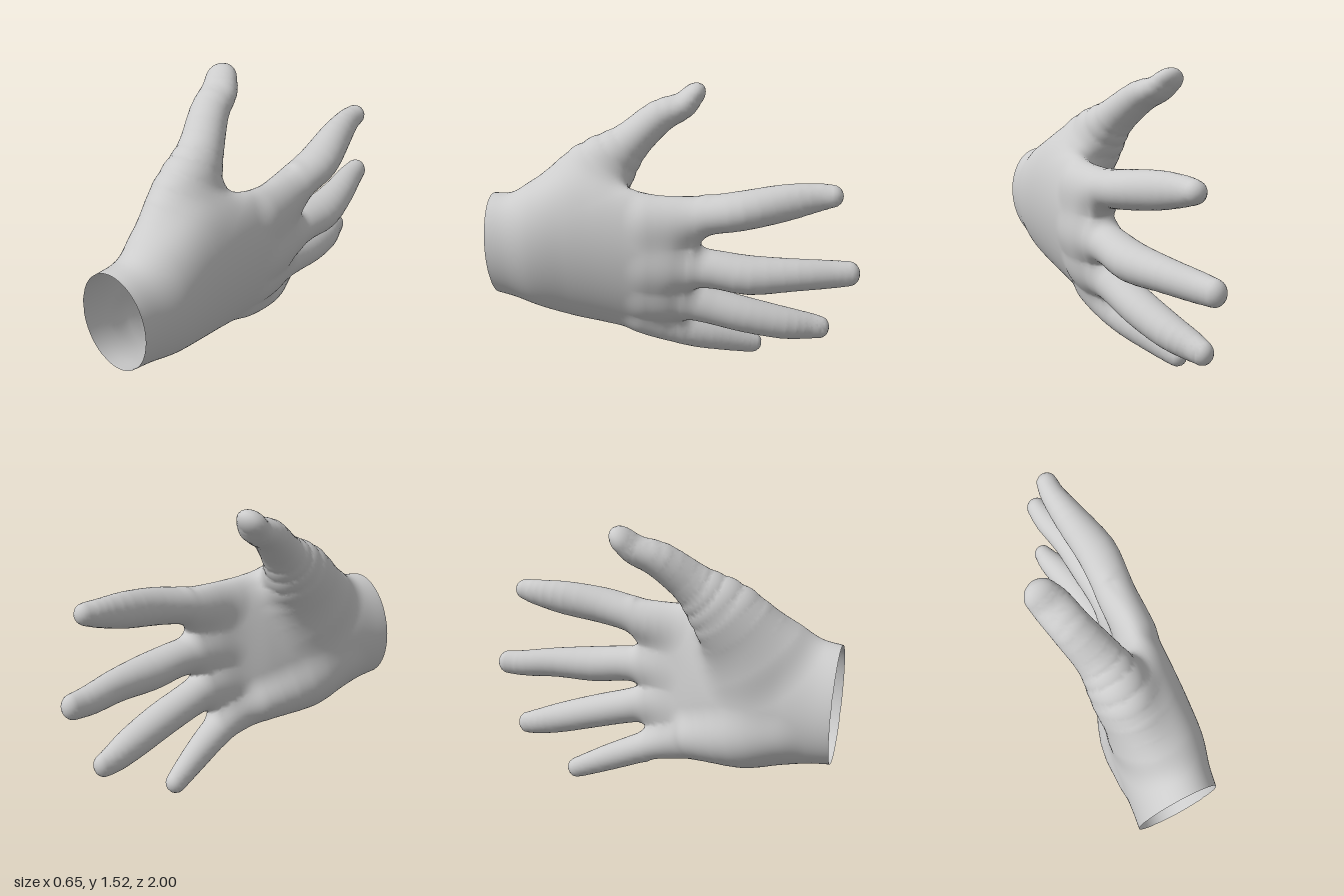
import * as THREE from 'three';

const STEP = 0.02;                       // cell size of the skin mesh
const CELLS = [36, 80, 102];
const ORIGIN = [-0.357, -0.037, 1 + STEP / 2 - CELLS[2] * STEP];

// Palm rows from wrist to knuckles: z, centre y, half height, centre x, half thickness, lean of x by y, bow of x
const PALM = [
  [1.00, 0.635, 0.305, 0.00, 0.217, 0.11, 0.00], [0.90, 0.632, 0.320, 0.015, 0.220, 0.11, 0.00],
  [0.75, 0.640, 0.370, 0.04, 0.232, 0.11, 0.00], [0.55, 0.650, 0.430, 0.06, 0.226, 0.11, 0.01],
  [0.40, 0.645, 0.437, 0.095, 0.200, 0.11, 0.02], [0.25, 0.625, 0.430, 0.135, 0.168, 0.12, 0.03],
  [0.10, 0.595, 0.427, 0.18, 0.130, 0.14, 0.05], [0.00, 0.590, 0.415, 0.195, 0.110, 0.14, 0.06],
  [-0.08, 0.590, 0.385, 0.195, 0.080, 0.14, 0.06],
];

// Limb rows from base to tip: x, y, z, radius across the spread of the hand, radius through the hand
const LIMBS = {
  heelOfPalm: [
    [-0.04, 0.47, 0.72, 0.12, 0.14], [-0.04, 0.40, 0.50, 0.145, 0.14], [0.02, 0.33, 0.25, 0.11, 0.11],
  ],
  thumb: [
    [-0.01, 0.85, 0.59, 0.23, 0.16], [-0.04, 1.05, 0.43, 0.195, 0.165], [-0.088, 1.21, 0.265, 0.115, 0.122],
    [-0.16, 1.345, 0.11, 0.09, 0.104], [-0.20, 1.40, -0.01, 0.071, 0.10], [-0.23, 1.448, -0.065, 0.06, 0.088],
  ],
  indexFinger: [
    [0.20, 0.89, 0.10, 0.11, 0.09], [0.195, 0.91, -0.08, 0.112, 0.105], [0.20, 0.945, -0.21, 0.10, 0.107],
    [0.20, 0.975, -0.37, 0.10, 0.11], [0.155, 1.01, -0.58, 0.095, 0.09], [0.125, 1.035, -0.74, 0.074, 0.068],
    [0.125, 1.047, -0.82, 0.058, 0.058],
  ],
  middleFinger: [
    [0.20, 0.64, 0.10, 0.11, 0.10], [0.20, 0.645, -0.08, 0.112, 0.108], [0.205, 0.64, -0.24, 0.10, 0.105],
    [0.20, 0.615, -0.42, 0.102, 0.11], [0.16, 0.61, -0.65, 0.086, 0.09], [0.11, 0.60, -0.83, 0.076, 0.075],
    [0.09, 0.60, -0.94, 0.068, 0.06],
  ],
  ringFinger: [
    [0.165, 0.45, 0.12, 0.10, 0.09], [0.16, 0.435, -0.06, 0.108, 0.10], [0.15, 0.395, -0.22, 0.098, 0.10],
    [0.135, 0.345, -0.40, 0.095, 0.10], [0.10, 0.29, -0.60, 0.088, 0.09], [0.065, 0.26, -0.73, 0.075, 0.072],
    [0.05, 0.245, -0.81, 0.063, 0.055],
  ],
  littleFinger: [
    [0.10, 0.28, 0.15, 0.085, 0.09], [0.09, 0.225, 0.00, 0.086, 0.095], [0.055, 0.17, -0.14, 0.082, 0.087],
    [0.005, 0.12, -0.28, 0.074, 0.073], [-0.04, 0.076, -0.40, 0.062, 0.06], [-0.058, 0.06, -0.445, 0.057, 0.053],
  ],
};

const clamp = THREE.MathUtils.clamp;

// Smooth curve through rows, evaluated at the given times
function rowCurve(rows, times) {
  const size = rows[0].length;
  return new THREE.CubicInterpolant(
    new Float32Array(times), new Float32Array(rows.flat()), size, new Float32Array(size));
}

// Approximate distance to an ellipsoid from an offset and its radii
function ellipsoid(x, y, z, a, b, c) {
  const u = x / a, v = y / b, w = z / c;
  const k0 = Math.sqrt(u * u + v * v + w * w);
  const k1 = Math.sqrt((u / a) ** 2 + (v / b) ** 2 + (w / c) ** 2);
  return k0 * (k0 - 1) / (k1 + 1e-9);
}

// Palm: leaning, bowed ellipses along z, slanted toward the knuckles
function palmDistance() {
  const curve = rowCurve(PALM, PALM.map(r => -r[0]));
  return (x, y, z) => {
    const slanted = z + 0.15 * (y - 0.59) * clamp((0.3 - z) / 0.4, 0, 1);
    const [, cy, ry, cx, rx, lean, bow] = curve.evaluate(clamp(-slanted, -1, 0.08));
    const dy = y - cy;
    const dx = x - cx - lean * dy + bow * Math.min((dy / ry) ** 2, 1.5);
    return ellipsoid(dx, dy, Math.min(slanted + 0.08, 0), rx, ry, 0.05);
  };
}

// Limb: a chain of tapering segments with oval sections and round ends
function limbDistance(rows) {
  const curve = rowCurve(rows, rows.map((_, i) => i));
  const knots = Array.from({ length: (rows.length - 1) * 3 + 1 }, (_, i) => Array.from(curve.evaluate(i / 3)));
  const segments = knots.slice(1).map((end, i) => {
    const start = knots[i];
    const [dx, dy, dz] = [0, 1, 2].map(k => end[k] - start[k]);
    return { start, end, dx, dy, dz, lengthSq: dx * dx + dy * dy + dz * dz, across: Math.hypot(dy, dz) };
  });
  return (x, y, z) => {
    let best = Infinity;
    for (const { start, end, dx, dy, dz, lengthSq, across } of segments) {
      const px = x - start[0], py = y - start[1], pz = z - start[2];
      const t = clamp((px * dx + py * dy + pz * dz) / lengthSq, 0, 1);
      const ox = px - t * dx, oy = py - t * dy, oz = pz - t * dz;
      const n = (oy * dz - oz * dy) / across;
      const m = Math.sqrt(Math.max(ox * ox + oy * oy + oz * oz - n * n, 0));
      const a = start[3] + t * (end[3] - start[3]), b = start[4] + t * (end[4] - start[4]);
      best = Math.min(best, ellipsoid(n, m, 0, a, b, 1));
    }
    return best;
  };
}

// Union of two distances with a rounded fillet
function blend(a, b, fillet) {
  const h = Math.max(fillet - Math.abs(a - b), 0) / fillet;
  return Math.min(a, b) - h * h * fillet / 4;
}

// Wrap one continuous skin around the blended parts; returns vertices and quads
function wrapSkin(field) {
  const [nx, ny, nz] = CELLS.map(n => n + 1);
  const stride = [1, nx, nx * ny];
  const at = (i, j, k) => i + j * nx + k * nx * ny;
  const values = new Float32Array(nx * ny * nz);
  const place = (i, axis) => ORIGIN[axis] + i * STEP;
  for (let k = 0; k < nz; k++) for (let j = 0; j < ny; j++) for (let i = 0; i < nx; i++) {
    values[at(i, j, k)] = field(place(i, 0), place(j, 1), place(k, 2));
  }

  // One vertex in each cell that the surface crosses
  const positions = [], normals = [], vertexOf = new Map();
  for (let k = 0; k < nz - 1; k++) for (let j = 0; j < ny - 1; j++) for (let i = 0; i < nx - 1; i++) {
    const cell = at(i, j, k);
    let crossings = 0;
    const p = [0, 0, 0];
    for (let corner = 0; corner < 8; corner++) for (let d = 0; d < 3; d++) {
      if (corner >> d & 1) continue;
      const bits = [corner & 1, corner >> 1 & 1, corner >> 2];
      const from = cell + at(...bits);
      const v0 = values[from], v1 = values[from + stride[d]];
      if ((v0 < 0) === (v1 < 0)) continue;
      bits[d] += v0 / (v0 - v1);
      bits.forEach((b, axis) => { p[axis] += b; });
      crossings++;
    }
    if (!crossings) continue;
    [i, j, k].forEach((c, axis) => { p[axis] = place(c + p[axis] / crossings, axis); });

    // Settle the vertex on the surface and take the slope there as its normal
    const slope = () => [0, 1, 2].map(axis => {
      const e = [0, 0, 0];
      e[axis] = 0.008;
      return (field(p[0] + e[0], p[1] + e[1], p[2] + e[2]) - field(p[0] - e[0], p[1] - e[1], p[2] - e[2])) / 0.016;
    });
    const g = slope();
    const shift = clamp(field(...p) / (g[0] ** 2 + g[1] ** 2 + g[2] ** 2), -STEP / 2, STEP / 2);
    p.forEach((_, axis) => { p[axis] -= g[axis] * shift; });
    p[2] = Math.min(p[2], 1);
    vertexOf.set(cell, positions.length / 3);
    positions.push(...p);
    normals.push(...new THREE.Vector3(...slope()).normalize());
  }

  // One quad around each grid edge that the surface crosses; the wrist stays open
  const quads = [];
  for (let k = 1; k < nz - 1; k++) for (let j = 1; j < ny - 1; j++) for (let i = 1; i < nx - 1; i++) {
    const cell = at(i, j, k);
    for (let d = 0; d < 3; d++) {
      const inside = values[cell] < 0;
      if (inside === values[cell + stride[d]] < 0) continue;
      const u = stride[(d + 1) % 3], v = stride[(d + 2) % 3];
      const quad = [cell - u - v, cell - v, cell, cell - u].map(c => vertexOf.get(c));
      quads.push(inside ? quad : quad.reverse());
    }
  }
  return { positions, normals, quads };
}

export function createModel() {
  const hand = new THREE.Group();
  hand.name = 'hand';
  const skin = new THREE.MeshStandardMaterial({ color: 0xcccccc, side: THREE.DoubleSide });
  skin.name = 'light grey';

  const names = ['palm', ...Object.keys(LIMBS)];
  const parts = [palmDistance(), ...Object.values(LIMBS).map(limbDistance)];
  const [palm, heel, thumb, ...fingers] = parts;
  const { positions, normals, quads } = wrapSkin((x, y, z) => {
    const body = blend(blend(palm(x, y, z), heel(x, y, z), 0.08), thumb(x, y, z), 0.12);
    return blend(body, Math.min(...fingers.map(f => f(x, y, z))), 0.07);
  });

  // Share the skin out between the parts, each quad to its nearest
  const faces = names.map(() => []);
  for (const [a, b, c, d] of quads) {
    const distances = parts.map(f => f(...positions.slice(a * 3, a * 3 + 3)));
    faces[distances.indexOf(Math.min(...distances))].push(a, b, c, a, c, d);
  }
  names.forEach((name, i) => {
    const geometry = new THREE.BufferGeometry();
    geometry.setAttribute('position', new THREE.Float32BufferAttribute(positions, 3));
    geometry.setAttribute('normal', new THREE.Float32BufferAttribute(normals, 3));
    geometry.setIndex(faces[i]);
    const mesh = new THREE.Mesh(geometry, skin);
    mesh.name = name;
    hand.add(mesh);
  });
  return hand;
}
